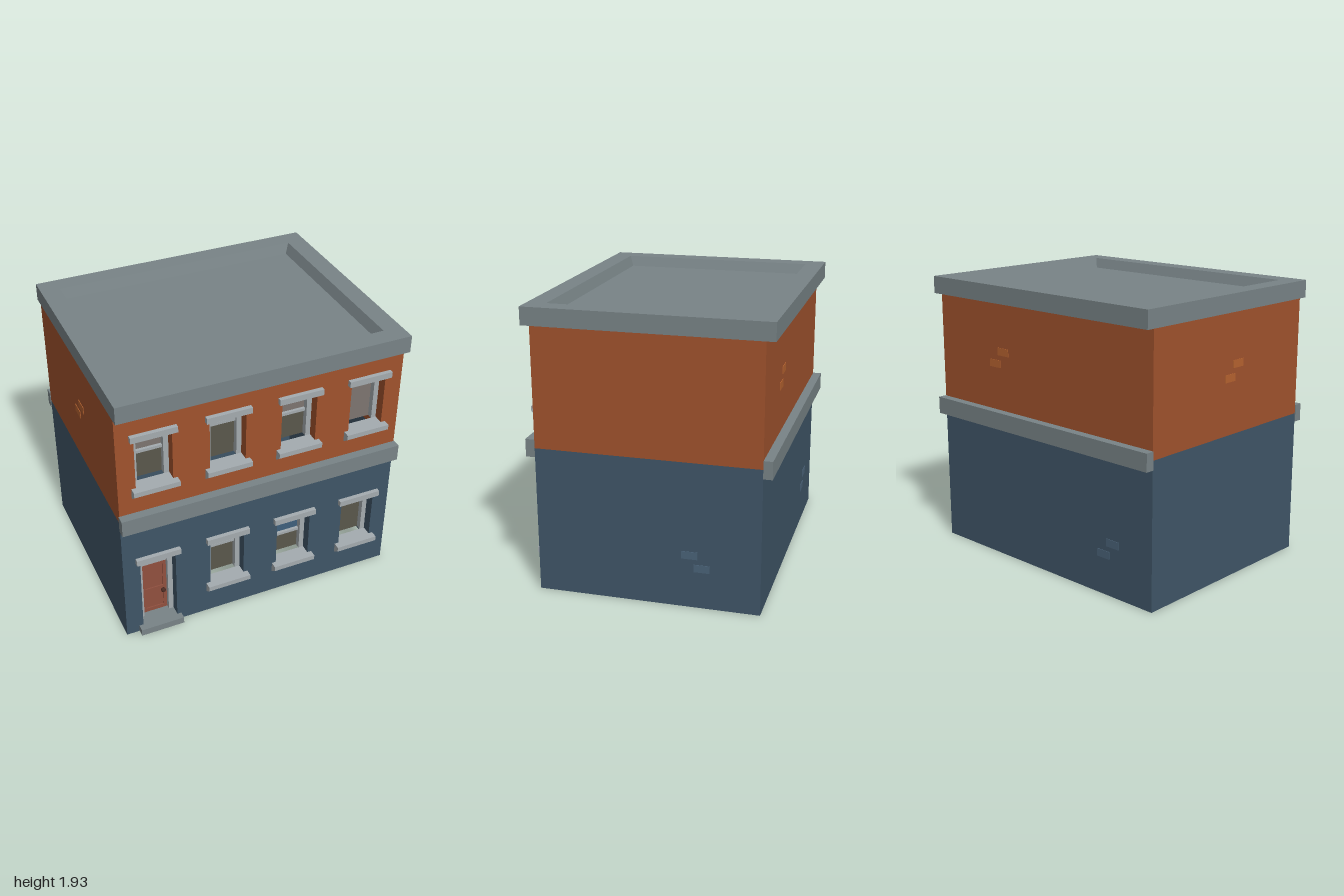
import * as THREE from 'three';

const mat = (color) => new THREE.MeshStandardMaterial({ color, flatShading: true, side: THREE.DoubleSide });
const M = {
  lower: mat(0x3f5567), upper: mat(0xa0522d), stone: mat(0x788386), trim: mat(0xa4abaf),
  glass: mat(0x5a574c), blind: mat(0x7d7570), blueBlind: mat(0x3f607c),
  door: mat(0x91503f), knob: mat(0x4a2a22), lowBrick: mat(0x4a6278), highBrick: mat(0xb5622f),
};
const WX = 0.995, WZ = 0.75, REVEAL = 0.68, GLASS = 0.64;
const HALF = 0.125, PANE = 0.09, HEAD = 0.625;

function add(parent, name, geometry, material) {
  const mesh = new THREE.Mesh(geometry, material);
  mesh.name = name;
  parent.add(mesh);
  return mesh;
}

// Box given by its limits on each axis
function box(parent, name, material, x0, x1, y0, y1, z0, z1) {
  const g = new THREE.BoxGeometry(x1 - x0, y1 - y0, z1 - z0);
  g.translate((x0 + x1) / 2, (y0 + y1) / 2, (z0 + z1) / 2);
  return add(parent, name, g, material);
}

// Upright panel facing +z
function panel(parent, name, material, x0, x1, y0, y1, z) {
  const g = new THREE.PlaneGeometry(x1 - x0, y1 - y0);
  g.translate((x0 + x1) / 2, (y0 + y1) / 2, z);
  return add(parent, name, g, material);
}

function rect(x0, x1, y0, y1, Type = THREE.Shape) {
  return new Type([[x0, y0], [x1, y0], [x1, y1], [x0, y1]].map(([x, y]) => new THREE.Vector2(x, y)));
}

// Surface through a stack of rectangular rings [halfX, halfZ, y]
function ringLoft(rings) {
  const corners = [[1, 1], [1, -1], [-1, -1], [-1, 1]];
  const pos = [], index = [];
  for (const [hx, hz, y] of rings) for (const [sx, sz] of corners) pos.push(sx * hx, y, sz * hz);
  for (let i = 0; i < rings.length - 1; i++) {
    for (let k = 0; k < 4; k++) {
      const a = i * 4 + k, b = i * 4 + (k + 1) % 4;
      index.push(a, b, b + 4, a, b + 4, a + 4);
    }
  }
  const g = new THREE.BufferGeometry();
  g.setAttribute('position', new THREE.Float32BufferAttribute(pos, 3));
  g.setIndex(index);
  const flat = g.toNonIndexed();
  flat.computeVertexNormals();
  return flat;
}

// Four walls of one storey; openings are [x, y0, y1]
function storey(name, material, y0, y1, openings) {
  const g = new THREE.Group();
  g.name = name;
  const front = rect(-WX, WX, y0, y1);
  for (const [x, a, b] of openings) front.holes.push(rect(x - HALF, x + HALF, a, b, THREE.Path));
  add(g, 'frontWall', new THREE.ShapeGeometry(front), material).position.z = WZ;
  panel(g, 'backWall', material, -WX, WX, y0, y1, WZ).rotation.y = Math.PI;
  for (const s of [1, -1]) {
    panel(g, 'sideWall', material, -WZ, WZ, y0, y1, WX).rotation.y = s * Math.PI / 2;
  }
  return g;
}

// Lintel, jambs and wall reveals shared by windows and door
function surround(g, wall, bottom) {
  box(g, 'lintel', M.trim, -0.155, 0.155, HEAD, 0.668, REVEAL, 0.78);
  for (const s of [-1, 1]) {
    const jamb = [s * HALF, s * PANE].sort((a, b) => a - b);
    box(g, 'jamb', M.trim, jamb[0], jamb[1], bottom, HEAD, 0.62, REVEAL);
    const reveal = new THREE.PlaneGeometry(WZ - REVEAL, HEAD - bottom);
    reveal.rotateY(-s * Math.PI / 2);
    reveal.translate(s * HALF, (HEAD + bottom) / 2, (WZ + REVEAL) / 2);
    add(g, 'reveal', reveal, wall);
  }
}

function makeWindow(wall, blindMaterial, rail) {
  const g = new THREE.Group();
  g.name = 'window';
  surround(g, wall, 0.255);
  // Sill with a sloping underside
  const profile = new THREE.Shape([[REVEAL, 0.18], [WZ, 0.18], [0.8, 0.222], [0.8, 0.258], [REVEAL, 0.258]]
    .map(([z, y]) => new THREE.Vector2(z, y)));
  const sill = new THREE.ExtrudeGeometry(profile, { depth: 0.31, bevelEnabled: false });
  sill.translate(0, 0, -0.155);
  sill.rotateY(-Math.PI / 2);
  add(g, 'sill', sill, M.trim);
  // Glass below, blind above, rail between
  if (rail > 0.26) {
    panel(g, 'glass', M.glass, -PANE, PANE, 0.255, rail, GLASS);
    box(g, 'rail', M.trim, -PANE, PANE, rail - 0.01, rail + 0.01, GLASS - 0.01, GLASS + 0.02);
  }
  panel(g, 'blind', blindMaterial, -PANE, PANE, rail, HEAD, GLASS);
  return g;
}

function makeDoor() {
  const g = new THREE.Group();
  g.name = 'entrance';
  surround(g, M.lower, 0);
  box(g, 'doorstep', M.stone, -0.155, 0.155, 0, 0.05, 0.62, 0.8);
  panel(g, 'transomGlass', M.glass, -PANE, PANE, 0.52, HEAD, GLASS);
  box(g, 'transomBar', M.trim, -PANE, PANE, 0.507, 0.53, 0.62, REVEAL - 0.01);
  // Door leaf with two sunken panels
  const leaf = rect(-PANE, PANE, 0.05, 0.507);
  for (const [a, b] of [[0.08, 0.2], [0.26, 0.485]]) leaf.holes.push(rect(-0.065, 0.065, a, b, THREE.Path));
  const leafGeo = new THREE.ExtrudeGeometry(leaf, { depth: 0.008, bevelEnabled: false });
  add(g, 'doorFrame', leafGeo, M.door).position.z = GLASS;
  panel(g, 'doorPanel', M.door, -PANE, PANE, 0.05, 0.507, GLASS);
  const knob = add(g, 'doorKnob', new THREE.SphereGeometry(0.017, 12, 8), M.knob);
  knob.position.set(0.06, 0.23, GLASS + 0.025);
  return g;
}

// Pair of offset bricks: u runs to the right when looking at the wall
function brickPair(parent, material, angle, wallDist, u, y, step) {
  const g = new THREE.Group();
  g.name = 'raisedBricks';
  for (const [cu, cy] of [[u, y], [u + step, y - 0.087]]) {
    box(g, 'brick', material, cu - 0.053, cu + 0.053, cy - 0.026, cy + 0.026, wallDist - 0.002, wallDist + 0.004);
  }
  g.rotation.y = angle;
  parent.add(g);
}

export function createModel() {
  const model = new THREE.Group();
  model.name = 'townBuilding';
  const xs = [-0.75, -0.25, 0.25, 0.75];

  // Storeys
  model.add(storey('lowerStorey', M.lower, 0, 1, xs.map((x, i) => [x, i ? 0.255 : 0.001, HEAD])));
  model.add(storey('upperStorey', M.upper, 1, 1.82, xs.map((x) => [x, 1.25, 1 + HEAD - 0.005])));

  // Door and windows
  const door = makeDoor();
  door.position.x = xs[0];
  model.add(door);
  [0.495, 0.42, 0.56].forEach((rail, i) => {
    const w = makeWindow(M.lower, M.blueBlind, rail);
    w.position.x = xs[i + 1];
    model.add(w);
  });
  [0.46, 0.52, 0.455, 0.255].forEach((rail, i) => {
    const w = makeWindow(M.upper, M.blind, rail);
    w.position.set(xs[i], 0.996, 0);
    model.add(w);
  });

  // Bands on front and back
  for (const [z0, z1] of [[WZ, 0.81], [-0.81, -WZ]]) box(model, 'band', M.stone, -1, 1, 0.94, 1.06, z0, z1);

  // Cornice, parapet and sunken roof
  add(model, 'roof', ringLoft([
    [WX - 0.01, WZ - 0.01, 1.81], [1, 0.81, 1.81], [1, 0.81, 1.93],
    [0.868, 0.68, 1.93], [0.838, 0.652, 1.86], [0, 0, 1.86],
  ]), M.stone);

  // Raised bricks on the plain walls
  brickPair(model, M.lowBrick, Math.PI / 2, WX, 0.282, 0.367, 0.082);
  brickPair(model, M.lowBrick, Math.PI, WZ, 0.66, 0.367, -0.082);
  brickPair(model, M.highBrick, Math.PI, WZ, -0.355, 1.47, -0.082);
  brickPair(model, M.highBrick, -Math.PI / 2, WX, 0.075, 1.47, -0.082);
  return model;
}
